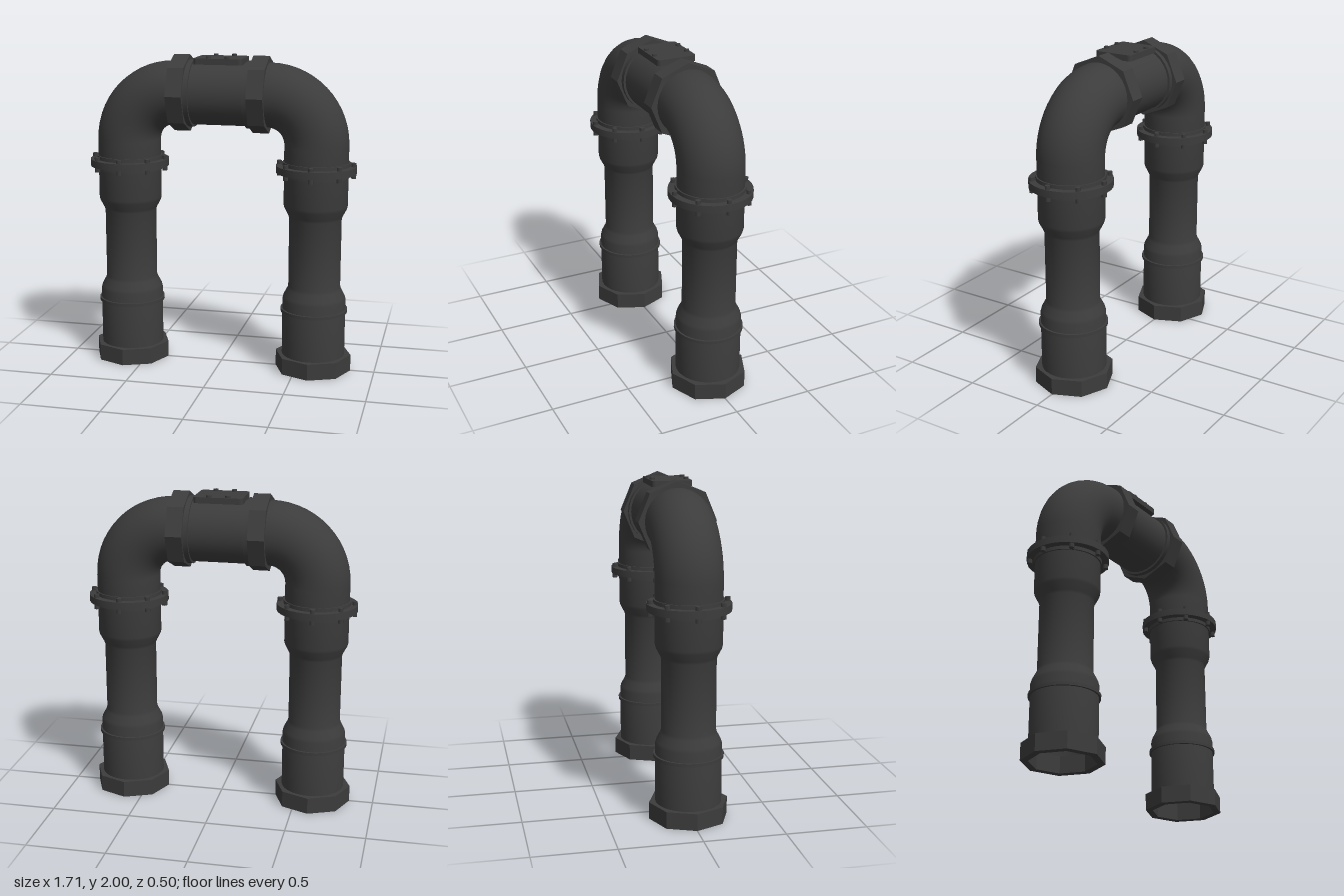
import * as THREE from 'three';
import { toCreasedNormals } from 'three/addons/utils/BufferGeometryUtils.js';

const LEG_X = 0.605, PIPE_R = 0.201, BEND_R = 0.302, BEND_Y = 1.457;
const TOP_Y = BEND_Y + BEND_R;

export function createModel() {
  const model = new THREE.Group();
  model.name = 'pipeArch';
  const iron = new THREE.MeshStandardMaterial({ color: 0x3c3c3c });
  const openIron = new THREE.MeshStandardMaterial({ color: 0x3c3c3c, side: THREE.DoubleSide });

  const add = (parent, name, geometry, x = 0, y = 0, z = 0, material = iron) => {
    const mesh = new THREE.Mesh(geometry, material);
    mesh.name = name;
    mesh.position.set(x, y, z);
    parent.add(mesh);
    return mesh;
  };

  // Hollow ring with a rectangular section; 8 sides make a nut
  const ring = (inner, outer, y0, y1, sides = 32) => {
    const profile = [[inner, y0], [outer, y0], [outer, y1], [inner, y1], [inner, y0]]
      .map(([r, y]) => new THREE.Vector2(r, y));
    return toCreasedNormals(new THREE.LatheGeometry(profile, sides), 0.5);
  };

  // Leg pipe, narrowed in the middle, open at the foot
  const legProfile = [
    [0.201, 0.0], [0.201, 0.468], [0.195, 0.49], [0.171, 0.535], [0.165, 0.555],
    [0.165, 0.995], [0.171, 1.012], [0.196, 1.06], [0.201, 1.08], [0.201, BEND_Y],
  ].map(([r, y]) => new THREE.Vector2(r, y));
  const legGeometry = toCreasedNormals(new THREE.LatheGeometry(legProfile, 32), 0.6);
  const boltGeometry = new THREE.CylinderGeometry(0.017, 0.017, 0.096, 6);

  for (const side of [1, -1]) {
    const half = new THREE.Group();
    half.name = side > 0 ? 'leftHalf' : 'rightHalf';
    half.rotation.y = side > 0 ? 0 : Math.PI;
    model.add(half);

    add(half, 'legPipe', legGeometry, LEG_X, 0, 0, openIron);
    add(half, 'footNut', ring(0.198, 0.243, 0, 0.105, 8), LEG_X);
    add(half, 'lowerBand', ring(0.198, 0.213, 0.388, 0.408), LEG_X);

    // Bolted flange below the elbow
    add(half, 'flangeCollar', ring(0.198, 0.21, 1.262, 1.353), LEG_X);
    add(half, 'flange', ring(0.198, 0.252, 1.285, 1.33), LEG_X);
    for (let i = 0; i < 8; i++) {
      const a = i * Math.PI / 4;
      add(half, 'flangeBolt', boltGeometry,
        LEG_X + 0.233 * Math.cos(a), 1.305, 0.233 * Math.sin(a));
    }

    // Quarter bend
    add(half, 'elbow', new THREE.TorusGeometry(BEND_R, PIPE_R, 32, 14, Math.PI / 2),
      LEG_X - BEND_R, BEND_Y, 0, openIron);

    // Octagonal coupling nut and its collar on the cross pipe
    const nut = add(half, 'couplingNut', ring(0.19, 0.241, 0.201, 0.304, 8), 0, TOP_Y);
    nut.rotation.z = -Math.PI / 2;
    const collar = add(half, 'couplingCollar', ring(0.19, 0.211, 0.17, 0.205), 0, TOP_Y);
    collar.rotation.z = -Math.PI / 2;
  }

  // Cross pipe between the couplings
  const cross = add(model, 'crossPipe',
    new THREE.CylinderGeometry(0.197, 0.197, 0.62, 32, 1, true), 0, TOP_Y, 0, openIron);
  cross.rotation.z = Math.PI / 2;

  // Inspection plate with rounded corners
  const w = 0.153, d = 0.126, r = 0.022;
  const outline = new THREE.Shape();
  [[w - r, d - r, 0], [-w + r, d - r, 1], [-w + r, -d + r, 2], [w - r, -d + r, 3]]
    .forEach(([x, y, q]) =>
      outline.absarc(x, y, r, q * Math.PI / 2, (q + 1) * Math.PI / 2, false));
  const plate = add(model, 'inspectionPlate', new THREE.ExtrudeGeometry(outline,
    { depth: 0.037, bevelEnabled: false, curveSegments: 4 }), 0, 1.949);
  plate.rotation.x = -Math.PI / 2;

  const plateBolt = new THREE.CylinderGeometry(0.016, 0.016, 0.04, 8);
  for (const x of [-0.059, 0.059])
    for (const z of [-0.106, 0.106]) add(model, 'plateBolt', plateBolt, x, 1.978, z);

  return model;
}
